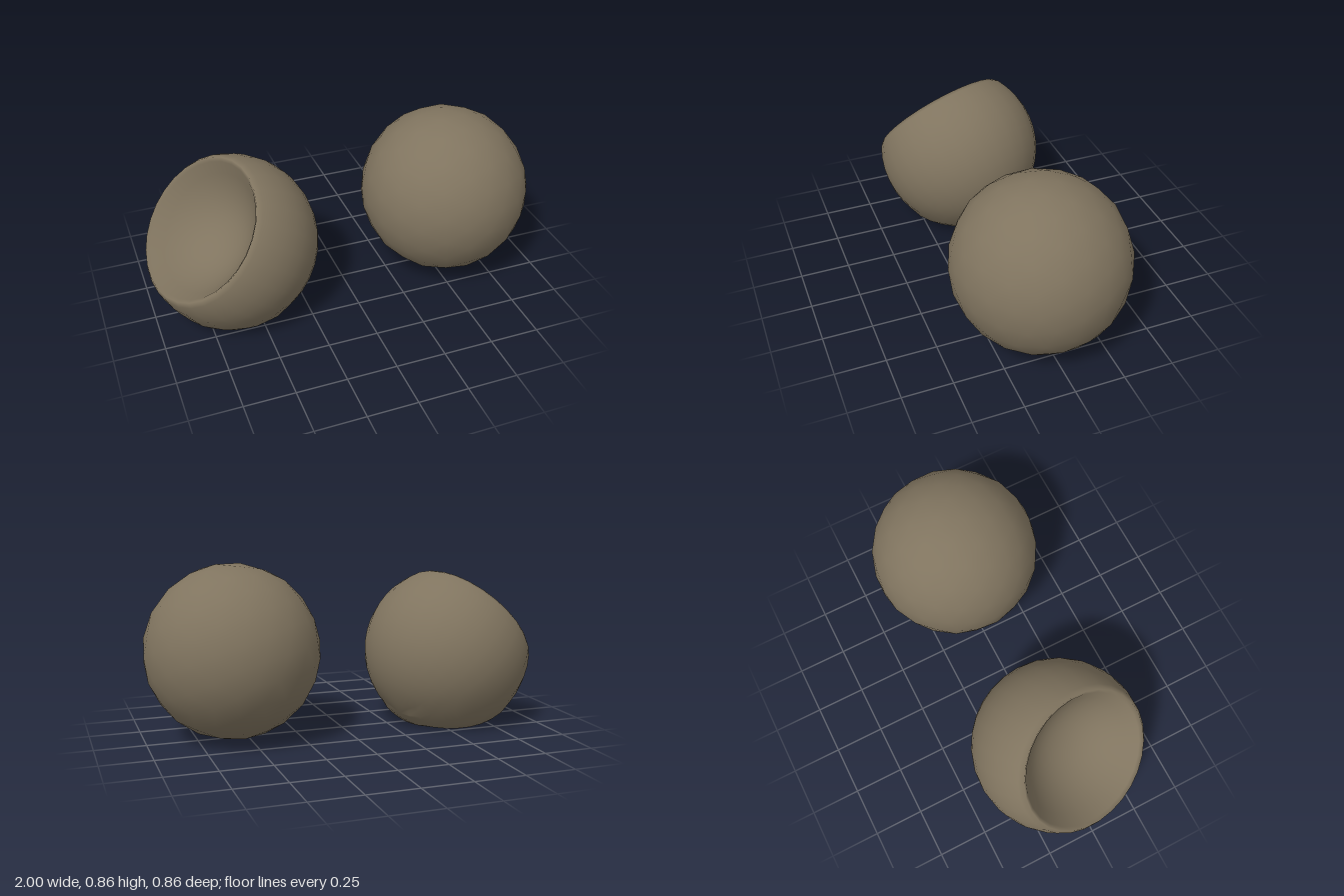
import * as THREE from 'three';
import { mergeVertices } from 'three/addons/utils/BufferGeometryUtils.js';

const R = 0.433;

// Ball with its cap pushed inward along +y, then tilted, with a dented underside
function dentedBallGeometry(center, axis) {
  const cut = 0.22, rim = Math.acos(cut / R), rimRadius = R * Math.sin(rim);
  const pts = [];
  // outer shell, from the far pole up to the rim
  const n = 14;
  for (let i = 0; i <= n; i++) {
    const a = Math.PI + (rim + 0.04 - Math.PI) * (i / n);
    pts.push(new THREE.Vector2(Math.max(0, R * Math.sin(a)), R * Math.cos(a)));
  }
  // rounded lip, then the bowl-shaped hollow
  pts.push(new THREE.Vector2(rimRadius - 0.012, cut + 0.006));
  const bowl = rimRadius - 0.03, depth = 0.2;
  for (let i = 0; i <= 8; i++) {
    const t = 1 - i / 8;
    pts.push(new THREE.Vector2(bowl * t, cut - 0.008 - depth * (1 - t ** 2.3)));
  }
  let geo = new THREE.LatheGeometry(pts, 28);
  geo.deleteAttribute('uv');
  geo.deleteAttribute('normal');
  geo = mergeVertices(geo, 1e-4);

  const q = new THREE.Quaternion().setFromUnitVectors(new THREE.Vector3(0, 1, 0), axis.clone().normalize());
  const p = geo.attributes.position, v = new THREE.Vector3();
  for (let i = 0; i < p.count; i++) {
    v.fromBufferAttribute(p, i).applyQuaternion(q).add(center);
    // underside folded up into a shallow hollow with a soft edge
    if (v.y < 0.1) v.y = Math.hypot(v.y - 0.004, 0.012) - 0.008;
    p.setXYZ(i, v.x, v.y, v.z);
  }
  geo.computeVertexNormals();
  return geo;
}

export function createModel() {
  const group = new THREE.Group();
  const clay = new THREE.MeshStandardMaterial({ color: 0x80745f });
  clay.name = 'brown clay';

  // whole ball
  const ball = new THREE.Mesh(new THREE.IcosahedronGeometry(R, 3), clay);
  ball.name = 'roundBall';
  ball.position.set(0.568, 0.44, 0);
  ball.rotation.set(0.35, 0.2, 0.25);
  group.add(ball);

  // collapsed ball
  const dented = new THREE.Mesh(
    dentedBallGeometry(new THREE.Vector3(-0.586, 0.376, 0), new THREE.Vector3(-0.71, 0.65, 0.25)), clay);
  dented.name = 'dentedBall';
  group.add(dented);

  return group;
}
